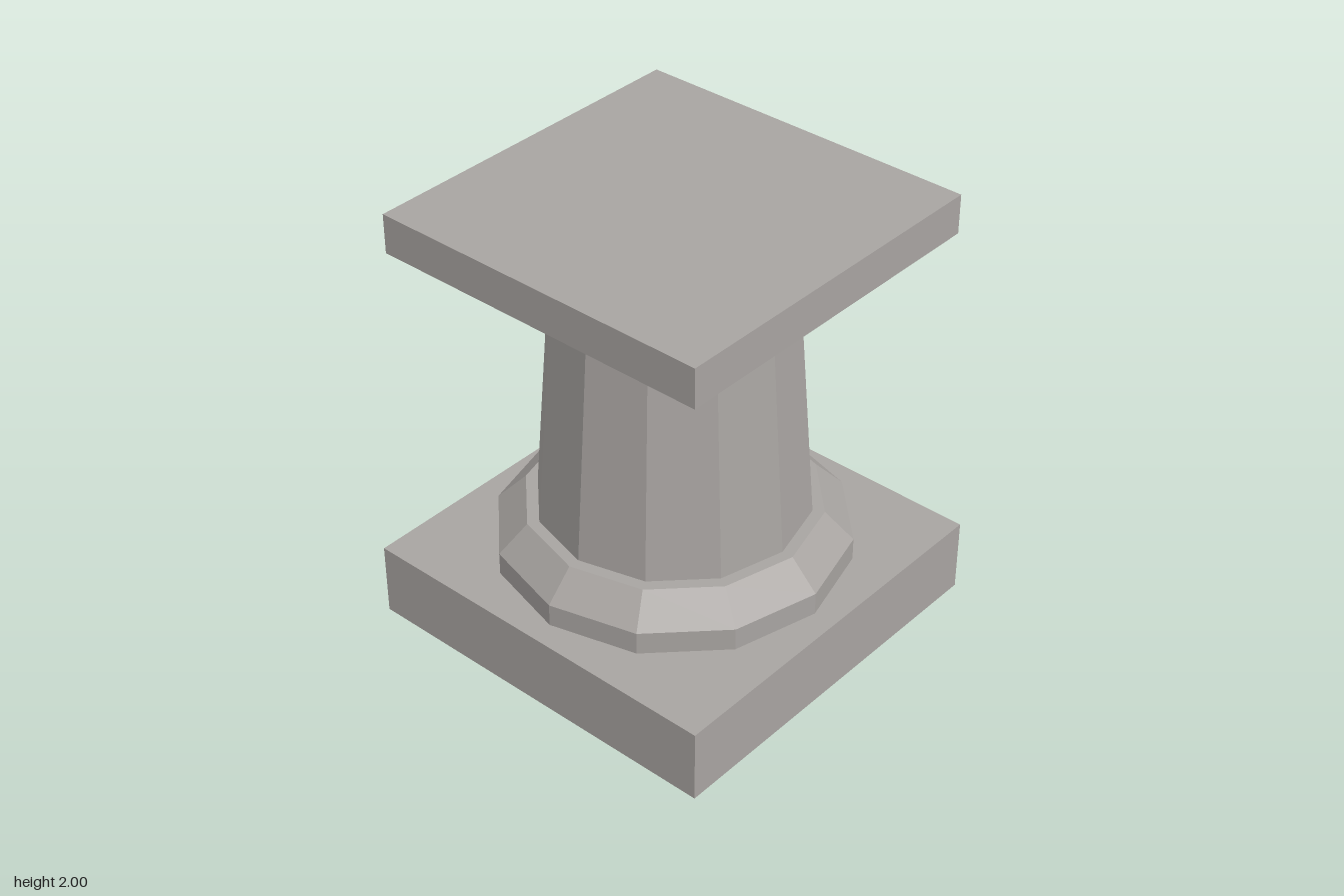
import * as THREE from 'three';

const stone = new THREE.MeshStandardMaterial({ color: 0xa8a4a1, side: THREE.DoubleSide });
stone.name = 'warm grey stone';
stone.flatShading = true;

const SIDES = 12;

function part(name, geometry) {
  const mesh = new THREE.Mesh(geometry, stone);
  mesh.name = name;
  return mesh;
}

// Twelve-sided turned part from [radius, height] pairs, listed bottom to top
function turned(name, profile) {
  const points = profile.map(([r, y]) => new THREE.Vector2(r, y));
  return part(name, new THREE.LatheGeometry(points, SIDES));
}

// Square slab standing between two heights
function slab(name, width, bottom, top) {
  const geometry = new THREE.BoxGeometry(width, top - bottom, width);
  geometry.translate(0, (bottom + top) / 2, 0);
  return part(name, geometry);
}

export function createModel() {
  const pedestal = new THREE.Group();
  pedestal.name = 'pedestal';

  // Square plinth, hollow and open underneath: drop the downward face
  const plinth = slab('plinth', 1.764, 0, 0.34);
  const index = Array.from(plinth.geometry.index.array);
  index.splice(18, 6);
  plinth.geometry.setIndex(index);
  plinth.geometry.clearGroups();

  // Bevelled foot ring with a narrow flat ledge round the shaft
  const foot = turned('footMoulding', [[0.777, 0.34], [0.777, 0.445], [0.65, 0.573], [0.597, 0.573]]);

  // Tapered faceted shaft
  const shaft = turned('shaft', [[0.597, 0.573], [0.518, 1.615]]);

  // Flaring capital in two steps
  const capital = turned('capital', [[0.518, 1.615], [0.64, 1.713], [0.752, 1.822]]);

  // Square top slab
  const top = slab('topSlab', 1.606, 1.822, 2);
  top.position.set(-0.002, 0, -0.002);

  pedestal.add(plinth, foot, shaft, capital, top);
  return pedestal;
}
